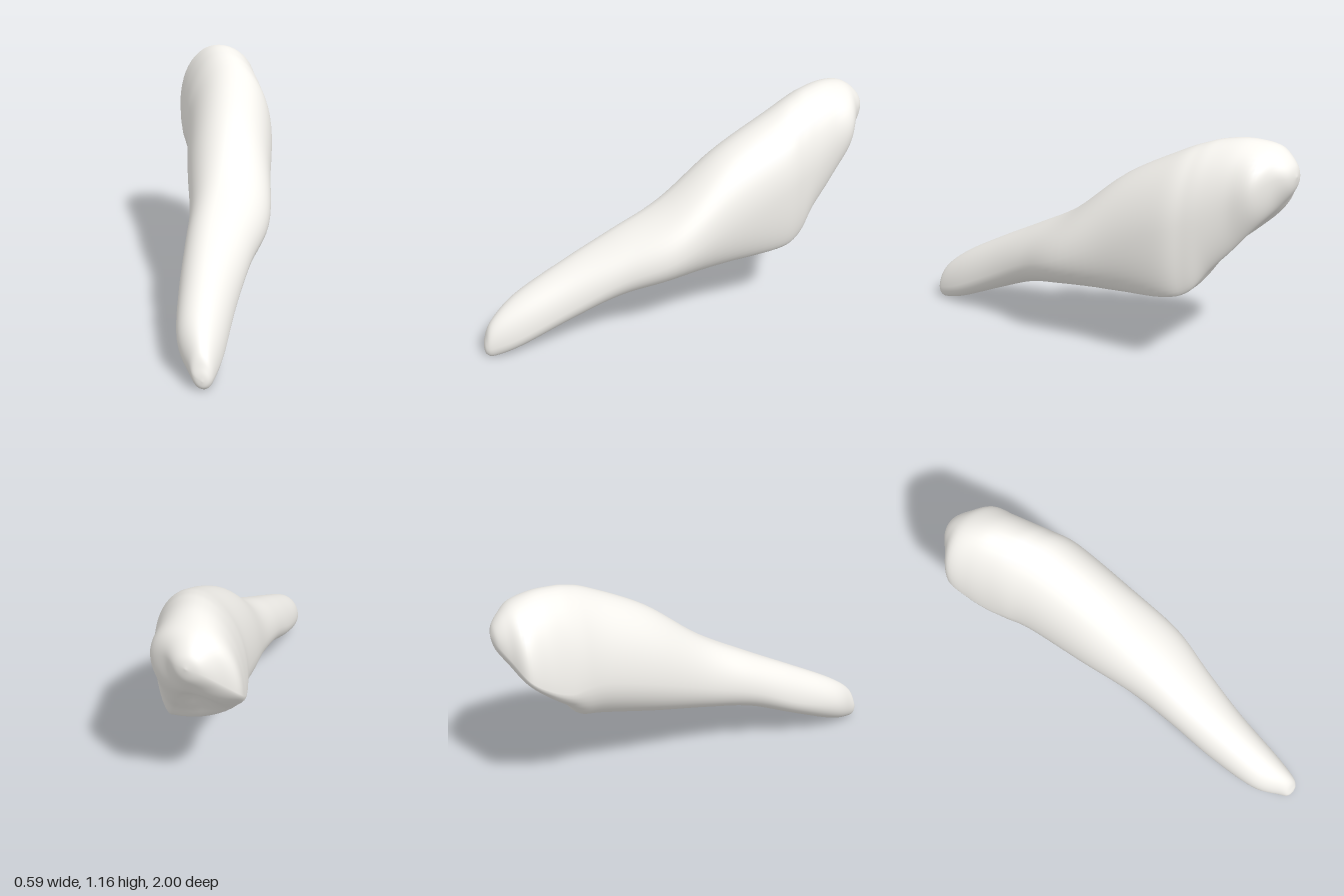
import * as THREE from 'three';

// End points of the bone, and cross-sections between them:
// z, top(x, y), right(x, y), bottom(x, y), left(x, y)
const TIP = [0.09, 0.05, 1];
const HEAD = [-0.1, 1.01, -1];
const SECTIONS = [
  [0.99, 0.085, 0.1, 0.12, 0.055, 0.09, 0.014, 0.05, 0.07],
  [0.95, 0.075, 0.185, 0.14, 0.07, 0.095, 0.003, 0.02, 0.1],
  [0.82, 0.05, 0.29, 0.164, 0.12, 0.09, 0.04, -0.05, 0.17],
  [0.57, 0.04, 0.43, 0.19, 0.25, 0.08, 0.15, -0.08, 0.27],
  [0.33, 0.04, 0.555, 0.233, 0.38, 0.08, 0.25, -0.09, 0.39],
  [0.08, 0.05, 0.695, 0.29, 0.48, 0.08, 0.302, -0.103, 0.48],
  [-0.2, 0.05, 0.92, 0.268, 0.62, 0.12, 0.343, -0.155, 0.6],
  [-0.48, 0.03, 1.075, 0.248, 0.74, 0.17, 0.395, -0.2, 0.7],
  [-0.6, 0, 1.128, 0.21, 0.79, 0.14, 0.44, -0.235, 0.72],
  [-0.68, -0.03, 1.15, 0.18, 0.83, 0.09, 0.55, -0.258, 0.72],
  [-0.78, -0.06, 1.16, 0.14, 0.9, 0.04, 0.66, -0.282, 0.77],
  [-0.88, -0.09, 1.143, 0.105, 0.96, -0.04, 0.78, -0.292, 0.85],
  [-0.94, -0.1, 1.11, 0.015, 1.01, -0.08, 0.87, -0.22, 0.93],
  [-0.985, -0.1, 1.06, -0.045, 1.01, -0.1, 0.945, -0.16, 0.99],
];
const STEPS = 6, SIDES = 48;

// A section shrunk to a single point closes each end
const pointSection = ([x, y, z]) => [z, x, y, x, y, x, y, x, y];

// Smooth blend between neighbouring sections
function sectionAt(sections, t) {
  const n = sections.length - 1;
  const i = Math.min(Math.floor(t), n - 1), f = t - i;
  const [a, b, c, d] = [i - 1, i, i + 1, i + 2].map(k => sections[Math.max(0, Math.min(n, k))]);
  return b.map((p, k) => p + 0.5 * f * (c[k] - a[k]
    + f * (2 * a[k] - 5 * p + 4 * c[k] - d[k] + f * (3 * (p - c[k]) + d[k] - a[k]))));
}

// Point on the four quarter-ellipses that join the section's extremes
function ringPoint([z, tx, ty, rx, ry, bx, by, lx, ly], u) {
  const sn = Math.sin(u), cs = Math.cos(u);
  const upper = cs >= 0, right = sn >= 0;
  const cx = upper ? tx : bx, cy = right ? ry : ly;
  const x = cx + ((right ? rx : lx) - cx) * Math.abs(sn);
  let y = cy + ((upper ? ty : by) - cy) * Math.abs(cs);
  // Shallow hollow in the slanted joint face under the head
  if (!upper) {
    const along = Math.exp(-(((z + 0.78) / 0.1) ** 2));
    const across = Math.exp(-(((x + 0.07) / 0.08) ** 2));
    y += 0.06 * along * across * Math.abs(cs);
  }
  return [x, y, z];
}

function boneGeometry() {
  const sections = [pointSection(TIP), ...SECTIONS, pointSection(HEAD)];
  const rings = (sections.length - 1) * STEPS - 1;
  const pos = [], index = [];
  for (let r = 1; r <= rings; r++) {
    const s = sectionAt(sections, r / STEPS);
    for (let j = 0; j < SIDES; j++) pos.push(...ringPoint(s, (j / SIDES) * Math.PI * 2));
  }
  const tip = rings * SIDES, head = tip + 1, lastRing = tip - SIDES;
  pos.push(...TIP, ...HEAD);
  for (let j = 0; j < SIDES; j++) {
    const k = (j + 1) % SIDES;
    index.push(tip, k, j);
    for (let r = 0; r < rings - 1; r++) {
      const a = r * SIDES + j, b = r * SIDES + k;
      index.push(a, b, a + SIDES, b, b + SIDES, a + SIDES);
    }
    index.push(head, lastRing + j, lastRing + k);
  }
  const g = new THREE.BufferGeometry();
  g.setAttribute('position', new THREE.Float32BufferAttribute(pos, 3));
  g.setIndex(index);
  g.computeVertexNormals();
  return g;
}

export function createModel() {
  const group = new THREE.Group();
  group.name = 'boneModel';
  const material = new THREE.MeshStandardMaterial({ color: 0xf6f4ef });
  const bone = new THREE.Mesh(boneGeometry(), material);
  bone.name = 'bone';
  group.add(bone);
  return group;
}
